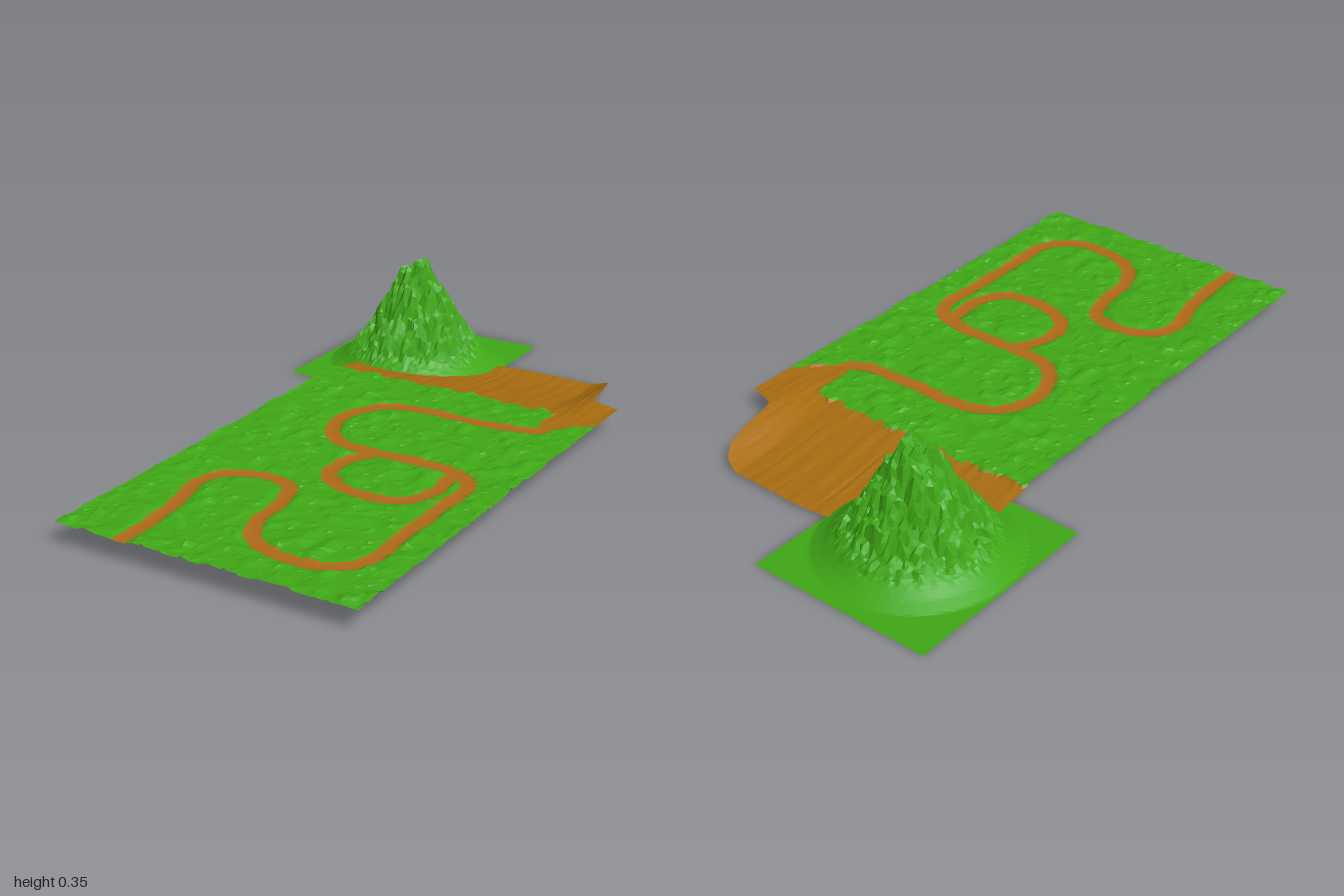
import * as THREE from 'three';

const { lerp, smoothstep, clamp } = THREE.MathUtils;

const mat = (color) => new THREE.MeshStandardMaterial({ color, flatShading: true, roughness: 1, side: THREE.DoubleSide });

// repeatable hash in 0..1 and smooth value noise built from it
function hash(i, j) {
  const s = Math.sin(i * 127.1 + j * 311.7) * 43758.5453;
  return s - Math.floor(s);
}
function noise(x, y) {
  const i = Math.floor(x), j = Math.floor(y);
  const u = smoothstep(x - i, 0, 1), v = smoothstep(y - j, 0, 1);
  return lerp(lerp(hash(i, j), hash(i + 1, j), u), lerp(hash(i, j + 1), hash(i + 1, j + 1), u), v);
}

// piecewise linear lookup through [input, output] pairs
function lookup(table, x) {
  for (let i = 1; i < table.length; i++) {
    const [a, b] = [table[i - 1], table[i]];
    if (x <= b[0]) return lerp(a[1], b[1], clamp((x - a[0]) / (b[0] - a[0]), 0, 1));
  }
  return table[table.length - 1][1];
}

// centre lines of the winding trail and of its side loop, as x, z
const trail = [
  [0.43, -0.3], [0.42, -0.2], [0.36, -0.175], [0.2, -0.165], [0.05, -0.165], [-0.06, -0.13],
  [-0.12, -0.03], [-0.11, 0.07], [-0.04, 0.16], [0.05, 0.18], [0.2, 0.18], [0.36, 0.19],
  [0.43, 0.25], [0.435, 0.4], [0.435, 0.6], [0.43, 0.78], [0.36, 0.85], [0.25, 0.86],
  [0.13, 0.82], [0.07, 0.72], [0.06, 0.6], [0.02, 0.5], [-0.07, 0.475], [-0.18, 0.52],
  [-0.21, 0.6], [-0.18, 0.72], [-0.165, 0.85], [-0.16, 1.01],
];
const loop = [
  [0.1, 0.19], [0.06, 0.27], [0.06, 0.36], [0.12, 0.42], [0.22, 0.445], [0.33, 0.42], [0.37, 0.33], [0.36, 0.2],
];
const trailPoints = [trail, loop].flatMap((pts) =>
  new THREE.CatmullRomCurve3(pts.map(([x, z]) => new THREE.Vector3(x, 0, z))).getSpacedPoints(pts.length * 10));

function trailDistance(x, z) {
  let d = Infinity;
  for (const p of trailPoints) d = Math.min(d, (p.x - x) ** 2 + (p.z - z) ** 2);
  return Math.sqrt(d);
}

// outline of the rear edge of the ground, z by x
const rearEdge = [
  [-0.37, -0.745], [0, -0.745], [0.1, -0.757], [0.35, -0.752], [0.39, -0.735], [0.42, -0.69],
  [0.44, -0.6], [0.455, -0.5], [0.49, -0.485], [0.55, -0.47],
];

function onSlope(x, z) {
  if (z < -0.365 + 0.025 * (noise(x * 40, 3) - 0.5)) return true;
  return x > 0.4 && z < -0.22 - Math.max(0, x - 0.45);
}

// thin ground sheet, split into grass, trail and bare slope
function ground() {
  const W = 84, D = 160, x0 = -0.37, x1 = 0.55, z0 = -0.755, z1 = 1;
  const grid = [];
  for (let j = 0; j <= D; j++) {
    for (let i = 0; i <= W; i++) {
      const inside = i > 0 && i < W && j > 0 && j < D ? 0.006 : 0;
      const x = lerp(x0, x1, i / W) + inside * (hash(i, j) - 0.5);
      let z = lerp(z0, z1, j / D) + inside * (hash(j, i + 500) - 0.5);
      if (z < -0.3) z = -0.3 + (z + 0.3) * (lookup(rearEdge, x) + 0.3) / (z0 + 0.3);
      const drop = smoothstep(-z, 0.26, 0.7) * (1 - smoothstep(x, 0.33, 0.47));
      // tufted grass, worn flat on the trail and streaked on the slope
      const tuft = 0.003 + 0.016 * Math.max(0, noise(x * 26, z * 26) - 0.4)
        + 0.02 * Math.max(0, noise(x * 60 + 9, z * 60) - 0.7);
      let bump = tuft * smoothstep(trailDistance(x, z), 0.012, 0.04);
      if (onSlope(x, z)) bump = 0.004 * noise(x * 70, z * 8);
      grid.push([x, 0.061 - 0.052 * drop + bump, z]);
    }
  }
  const parts = { grass: [], trail: [], slope: [] };
  const triangle = (a, b, c) => {
    const corners = [grid[a], grid[b], grid[c]];
    const x = (corners[0][0] + corners[1][0] + corners[2][0]) / 3;
    const z = (corners[0][2] + corners[1][2] + corners[2][2]) / 3;
    const name = onSlope(x, z) ? 'slope' : trailDistance(x, z) < 0.023 ? 'trail' : 'grass';
    corners.forEach((p) => parts[name].push(...p));
  };
  for (let j = 0; j < D; j++) {
    for (let i = 0; i < W; i++) {
      const a = j * (W + 1) + i, b = a + W + 1;
      triangle(a, b, a + 1);
      triangle(a + 1, b, b + 1);
    }
  }
  const colors = { grass: 0x40a816, trail: 0xb0691a, slope: 0xa86c10 };
  const group = new THREE.Group();
  group.name = 'ground';
  for (const name in parts) {
    const geo = new THREE.BufferGeometry();
    geo.setAttribute('position', new THREE.Float32BufferAttribute(parts[name], 3));
    geo.computeVertexNormals();
    const mesh = new THREE.Mesh(geo, mat(colors[name]));
    mesh.name = name;
    group.add(mesh);
  }
  return group;
}

// craggy hill raised from a square sheet, open underneath
function hill() {
  const profile = [
    [0, 0.335], [0.035, 0.325], [0.075, 0.255], [0.13, 0.16], [0.18, 0.085], [0.22, 0.045], [0.25, 0.02], [0.285, 0],
  ];
  const geo = new THREE.PlaneGeometry(0.57, 0.625, 52, 56).rotateX(-Math.PI / 2).translate(-0.27, 0, -0.6875);
  const pos = geo.attributes.position;
  for (let k = 0; k < pos.count; k++) {
    const x = pos.getX(k), z = pos.getZ(k);
    const r = Math.hypot(x + 0.262, z + 0.68);
    const rough = 1 - smoothstep(r, 0.14, 0.24);
    const crag = 0.045 * (hash(k, 7) - 0.5) + 0.03 * (noise(x * 35, z * 35) - 0.5);
    pos.setY(k, Math.max(0, lookup(profile, r) + crag * rough));
    if (r < 0.22) {
      pos.setX(k, x + 0.007 * (hash(k, 21) - 0.5));
      pos.setZ(k, z + 0.007 * (hash(k, 43) - 0.5));
    }
  }
  geo.computeVertexNormals();
  const mesh = new THREE.Mesh(geo, mat(0x40a816));
  mesh.name = 'hill';
  return mesh;
}

export function createModel() {
  const model = new THREE.Group();
  model.name = 'hillTrailTerrain';
  model.add(ground(), hill());
  return model;
}
